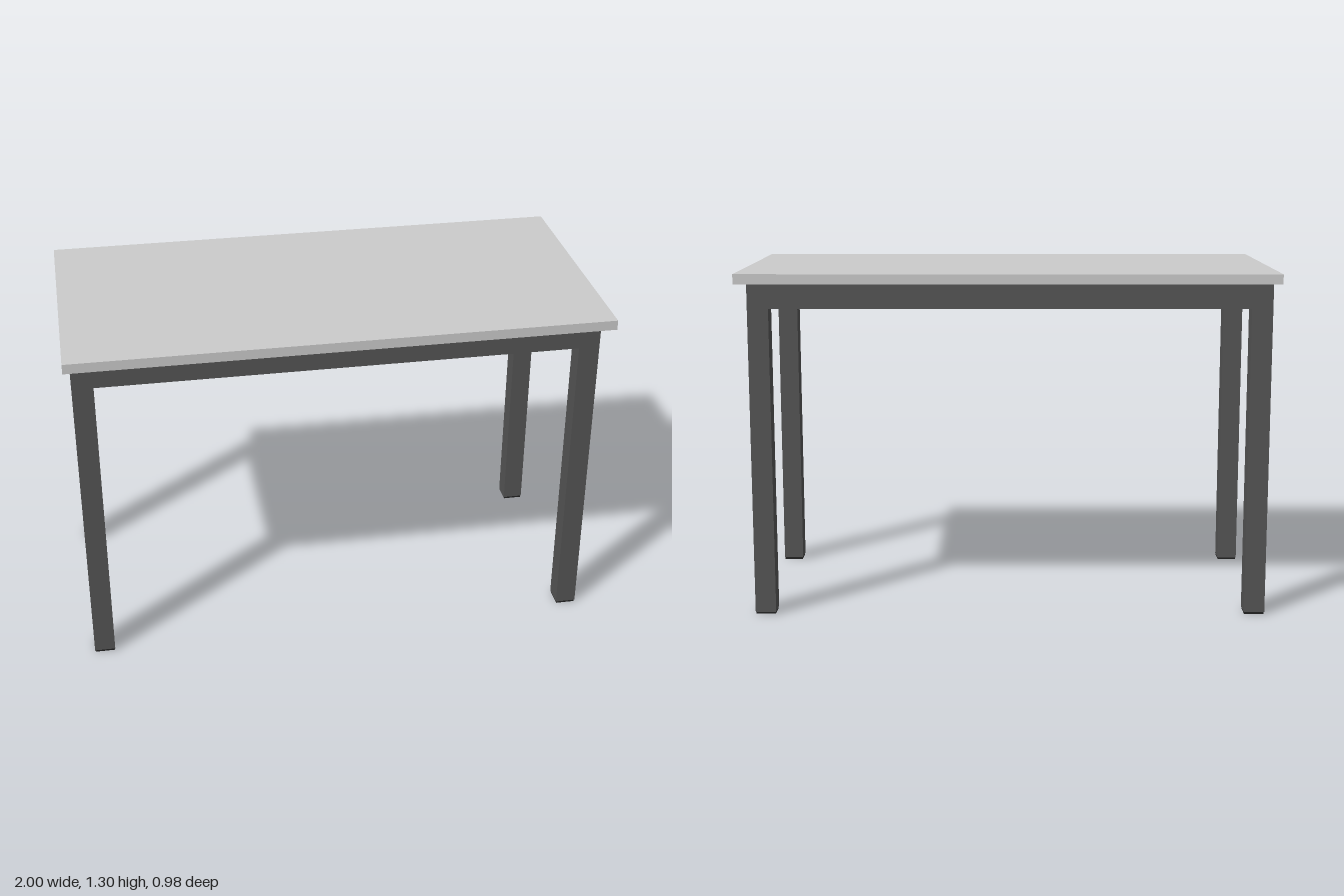
import * as THREE from 'three';

const frameMaterial = new THREE.MeshStandardMaterial({ color: 0x555555 });
const footMaterial = new THREE.MeshStandardMaterial({ color: 0x222222 });
const topMaterial = new THREE.MeshStandardMaterial({ color: 0xcccccc });

// Box given by its extents along each axis
function box(name, [x0, x1], [y0, y1], [z0, z1], material) {
  const mesh = new THREE.Mesh(new THREE.BoxGeometry(x1 - x0, y1 - y0, z1 - z0), material);
  mesh.position.set((x0 + x1) / 2, (y0 + y1) / 2, (z0 + z1) / 2);
  mesh.name = name;
  return mesh;
}

export function createModel() {
  const table = new THREE.Group();
  table.name = 'table';

  const topY = 1.26, railY = 1.165, footY = 0.008, inset = 0.002;
  const sidesX = { Right: [-0.975, -0.897], Left: [0.882, 0.96] };
  const sidesZ = { front: [0.355, 0.433], back: [-0.436, -0.358] };
  const shrink = ([a, b]) => [a + inset, b - inset];

  // Table top
  table.add(box('tableTop', [-1, 1], [topY, 1.297], [-0.49, 0.49], topMaterial));

  // Legs with foot caps; the front legs stop under the front rail
  for (const [zName, z] of Object.entries(sidesZ)) {
    const legTop = zName === 'front' ? railY : topY;
    for (const [xName, x] of Object.entries(sidesX)) {
      table.add(box(`${zName}${xName}Leg`, x, [footY, legTop], z, frameMaterial));
      table.add(box(`${zName}${xName}Foot`, shrink(x), [0, footY], shrink(z), footMaterial));
    }
  }

  // Long rails: the front one runs over the legs, the back one sits between them
  const rail = [railY, topY];
  table.add(box('frontRail', [sidesX.Right[0], sidesX.Left[1]], rail, sidesZ.front, frameMaterial));
  table.add(box('backRail', [sidesX.Right[1], sidesX.Left[0]], rail, sidesZ.back, frameMaterial));

  // Short rails between the front and back legs
  for (const [xName, x] of Object.entries(sidesX)) {
    table.add(box(`side${xName}Rail`, x, rail, [sidesZ.back[1], sidesZ.front[0]], frameMaterial));
  }

  return table;
}
